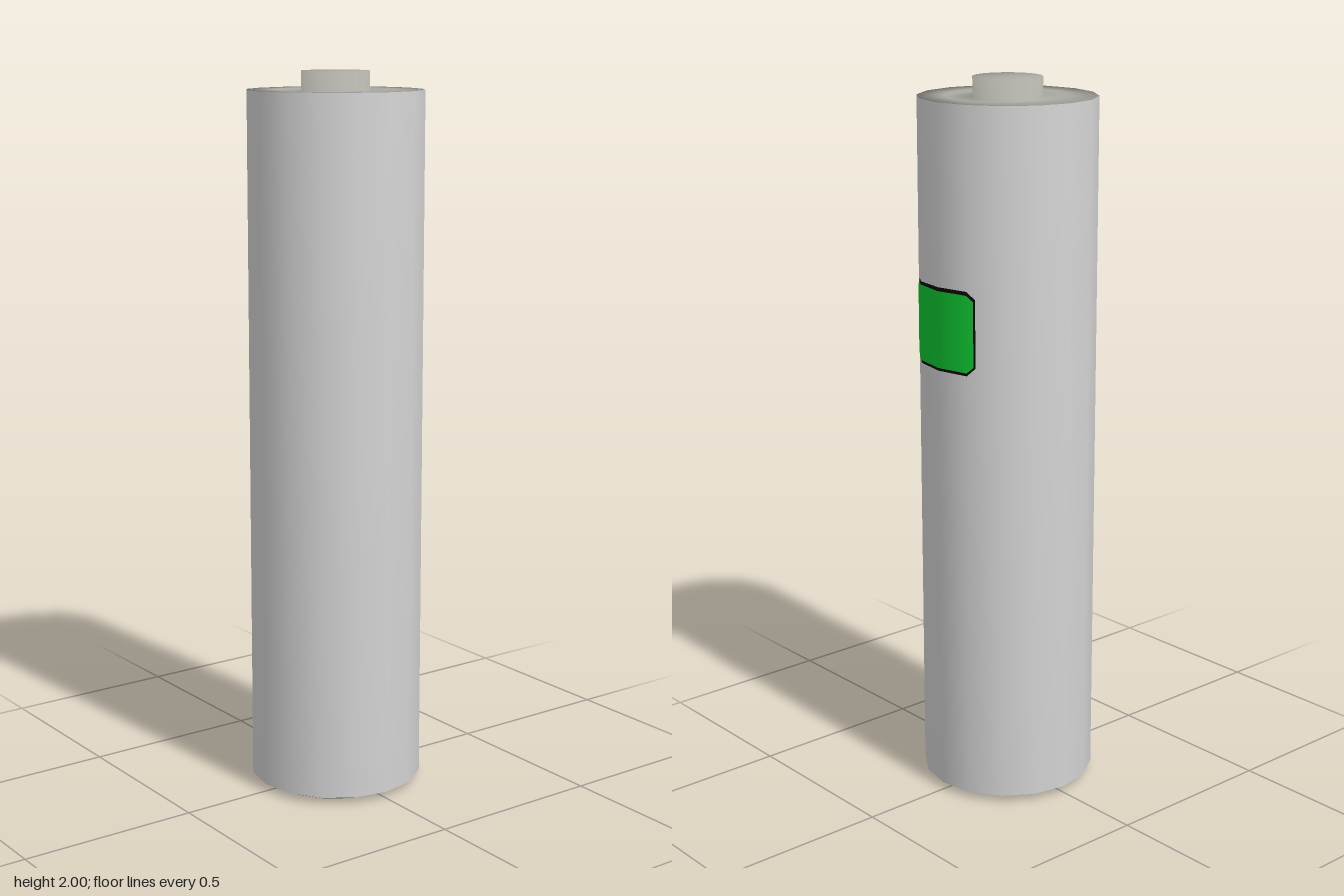
import * as THREE from 'three';

const SIDES = 16, R = 0.243;

const material = (name, color) => {
  const m = new THREE.MeshStandardMaterial({ color });
  m.name = name;
  return m;
};

// x of the faceted casing surface at a given z on the +x side
function facetX(z) {
  const step = (2 * Math.PI) / SIDES, a = Math.abs(z);
  for (let i = 0; i < SIDES / 4; i++) {
    const z0 = R * Math.sin(i * step), z1 = R * Math.sin((i + 1) * step);
    if (a <= z1) {
      return THREE.MathUtils.mapLinear(a, z0, z1, R * Math.cos(i * step), R * Math.cos((i + 1) * step));
    }
  }
  return 0;
}

// Thin painted patch wrapped on the casing; columns are [z, yBottom, yTop]
function patch(name, columns, offset, mat) {
  const pos = [], nor = [], idx = [];
  columns.forEach(([z, y0, y1], i) => {
    const x = facetX(z), k = 1 + offset / R;
    pos.push(x * k, y0, z * k, x * k, y1, z * k);
    const n = new THREE.Vector3(x, 0, z).normalize();
    nor.push(n.x, 0, n.z, n.x, 0, n.z);
    if (i) {
      const a = 2 * (i - 1);
      idx.push(a, a + 2, a + 1, a + 1, a + 2, a + 3);
    }
  });
  const g = new THREE.BufferGeometry();
  g.setAttribute('position', new THREE.Float32BufferAttribute(pos, 3));
  g.setAttribute('normal', new THREE.Float32BufferAttribute(nor, 3));
  g.setIndex(idx);
  const mesh = new THREE.Mesh(g, mat);
  mesh.name = name;
  return mesh;
}

export function createModel() {
  const casing = material('light grey casing', 0xd4d4d4);
  const metal = material('warm grey metal', 0xa9a9a1);
  const green = material('green label', 0x10c832);
  const black = material('black outline', 0x080808);

  const group = new THREE.Group();
  group.name = 'battery';

  // One continuous smooth profile: base contact, casing, end ring, recess, terminal
  const profile = [
    [0, 0], [0.2, 0], [0.2, 0.02], [R, 0.02], [R, 1.95],
    [0.17, 1.95], [0.167, 1.944], [0.094, 1.944], [0.094, 2], [0, 2],
  ].map(([x, y]) => new THREE.Vector2(x, y));
  const body = new THREE.LatheGeometry(profile, SIDES);

  // Only the long side wall is casing coloured, the ends are metal
  const wall = 3, spans = profile.length - 1;
  for (let i = 0; i < SIDES; i++) {
    const start = i * spans * 6;
    body.addGroup(start, wall * 6, 1);
    body.addGroup(start + wall * 6, 6, 0);
    body.addGroup(start + (wall + 1) * 6, (spans - wall - 1) * 6, 1);
  }
  const bodyMesh = new THREE.Mesh(body, [casing, metal]);
  bodyMesh.name = 'casingAndTerminals';
  group.add(bodyMesh);

  // Label on the +x side with a thin dark border
  const bend = R * Math.sin(Math.PI / 8);
  group.add(patch('labelBorder', [
    [0.151, 1.26, 1.445], [0.13, 1.238, 1.464], [bend, 1.238, 1.464], [0, 1.238, 1.466],
    [-bend, 1.238, 1.466], [-0.113, 1.26, 1.445],
  ], 0.002, black));
  group.add(patch('label', [
    [0.147, 1.262, 1.44], [0.13, 1.246, 1.456], [bend, 1.246, 1.456], [0, 1.246, 1.456],
    [-bend, 1.246, 1.456], [-0.109, 1.262, 1.44],
  ], 0.004, green));

  return group;
}
